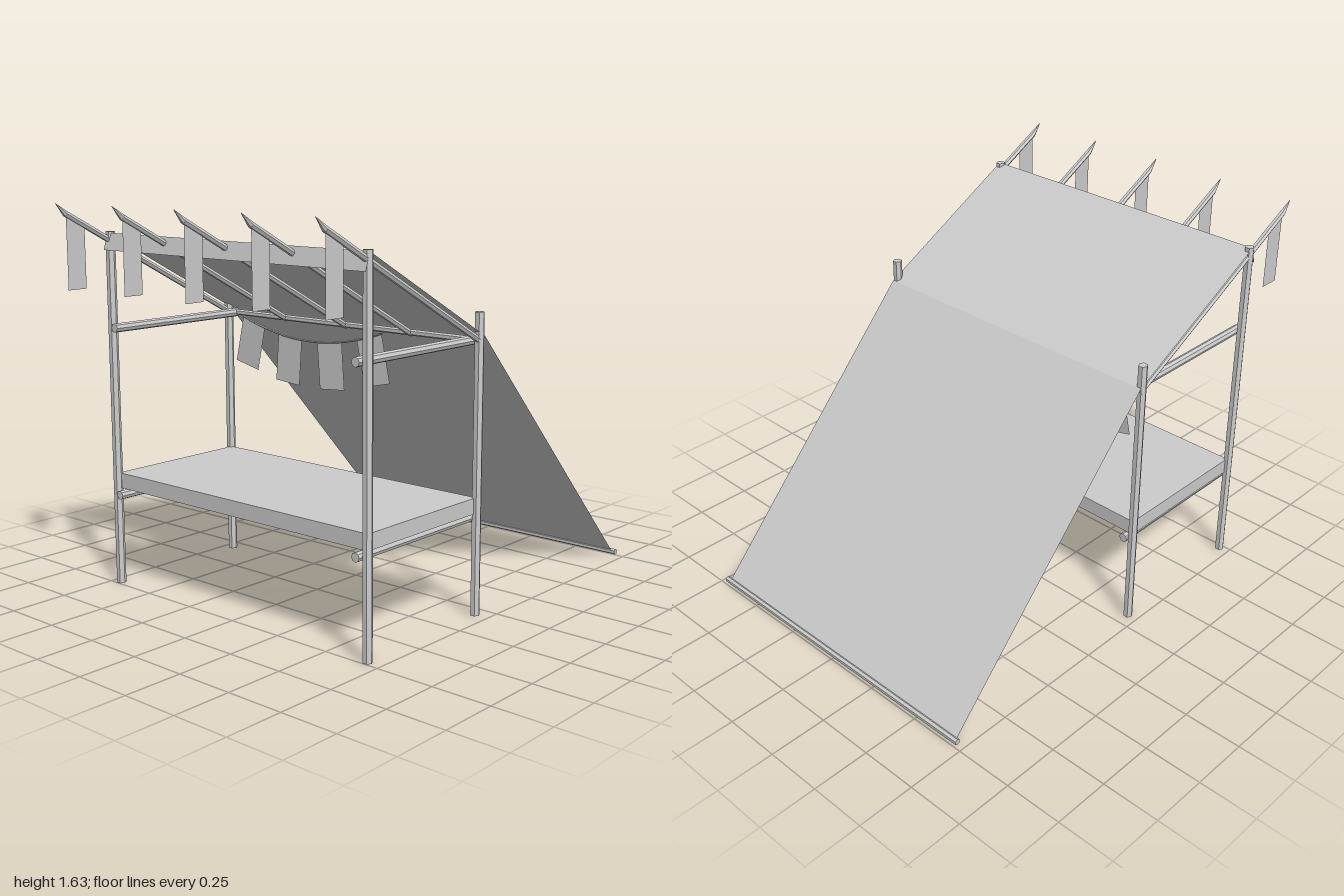
import * as THREE from 'three';

const grey = new THREE.MeshStandardMaterial({ color: 0xcccccc, flatShading: true });
const cloth = new THREE.MeshStandardMaterial({ color: 0xcccccc, flatShading: true, side: THREE.DoubleSide });
const V = (x, y, z) => new THREE.Vector3(x, y, z);

export function createModel() {
  const group = new THREE.Group();
  const add = (name, geometry, material = grey) => {
    const mesh = new THREE.Mesh(geometry, material);
    mesh.name = name;
    group.add(mesh);
    return mesh;
  };

  // Straight pole between two points, optionally tapering
  const pole = (name, a, b, r, sides = 6, rEnd = r) => {
    const dir = b.clone().sub(a);
    const geo = new THREE.CylinderGeometry(rEnd, r, dir.length(), sides);
    geo.rotateY(Math.PI / 2);
    const mesh = add(name, geo);
    mesh.position.copy(a).add(b).multiplyScalar(0.5);
    mesh.quaternion.setFromUnitVectors(V(0, 1, 0), dir.normalize());
    return mesh;
  };

  // Thin four-cornered cloth panel
  const panel = (name, a, b, c, d) => {
    const geo = new THREE.BufferGeometry().setFromPoints([a, b, c, a, c, d]);
    geo.computeVertexNormals();
    return add(name, geo, cloth);
  };

  const left = 0.688, right = -0.703, frontZ = 0.73, backZ = 0.065;

  // Corner posts and the side rails joining them
  for (const x of [right, left]) {
    pole('frontPost', V(x, 0, frontZ), V(x, 1.505, frontZ), 0.02);
    pole('backPost', V(x, 0, backZ), V(x, 1.225, backZ), 0.02);
    const inner = x - Math.sign(x) * 0.038;
    pole('lowerRail', V(inner, 0.397, 0.755), V(inner, 0.397, 0.05), 0.019, 8);
    pole('upperRail', V(inner, 1.11, 0.755), V(inner, 1.11, 0.05), 0.019, 8);
  }

  // Counter slab
  add('counter', new THREE.BoxGeometry(1.385, 0.065, 0.66)).position.set(-0.007, 0.453, 0.397);

  // Cross bar under the canopy fold and the rod weighting its lower hem
  pole('backCrossBar', V(right, 1.112, 0.06), V(left, 1.112, 0.06), 0.013);
  pole('hemRod', V(-0.725, 0.02, -0.986), V(0.72, 0.02, -0.986), 0.013);

  // Pointed rafters, each with a hanging pennant
  for (let i = 0; i < 5; i++) {
    const x = right + (left - right) * i / 4;
    pole('rafter', V(x, 1.105, 0.05), V(x, 1.585, 0.95), 0.013);
    pole('rafterTip', V(x, 1.585, 0.95), V(x, 1.628, 0.998), 0.013, 6, 0.001);
    panel('pennant', V(x, 1.575, 0.95), V(x, 1.53, 0.86), V(x, 1.28, 0.86), V(x, 1.28, 0.95));
  }

  // Canopy: valance, roof and long rear slope
  const profile = [[1.43, 0.757], [1.5, 0.737], [1.13, 0.045], [0.02, -0.986]];
  ['valance', 'roofCloth', 'rearCloth'].forEach((name, i) => {
    const [y0, z0] = profile[i], [y1, z1] = profile[i + 1];
    panel(name, V(-0.714, y0, z0), V(0.7, y0, z0), V(0.7, y1, z1), V(-0.714, y1, z1));
  });

  // Sagging bunting cord with four flags set square to it
  const cord = new THREE.QuadraticBezierCurve3(V(-0.62, 1.1, 0.062), V(-0.21, 0.945, 0.062), V(0.2, 1.095, 0.062));
  add('buntingCord', new THREE.TubeGeometry(cord, 16, 0.004, 5));
  for (const t of [0.09, 0.36, 0.64, 0.91]) {
    const p = cord.getPoint(t), along = cord.getTangent(t);
    const flag = add('buntingFlag', new THREE.PlaneGeometry(0.14, 0.205).translate(0, -0.1, 0), cloth);
    flag.position.copy(p);
    flag.rotation.z = Math.atan2(along.y, along.x) * 0.75;
  }

  return group;
}
